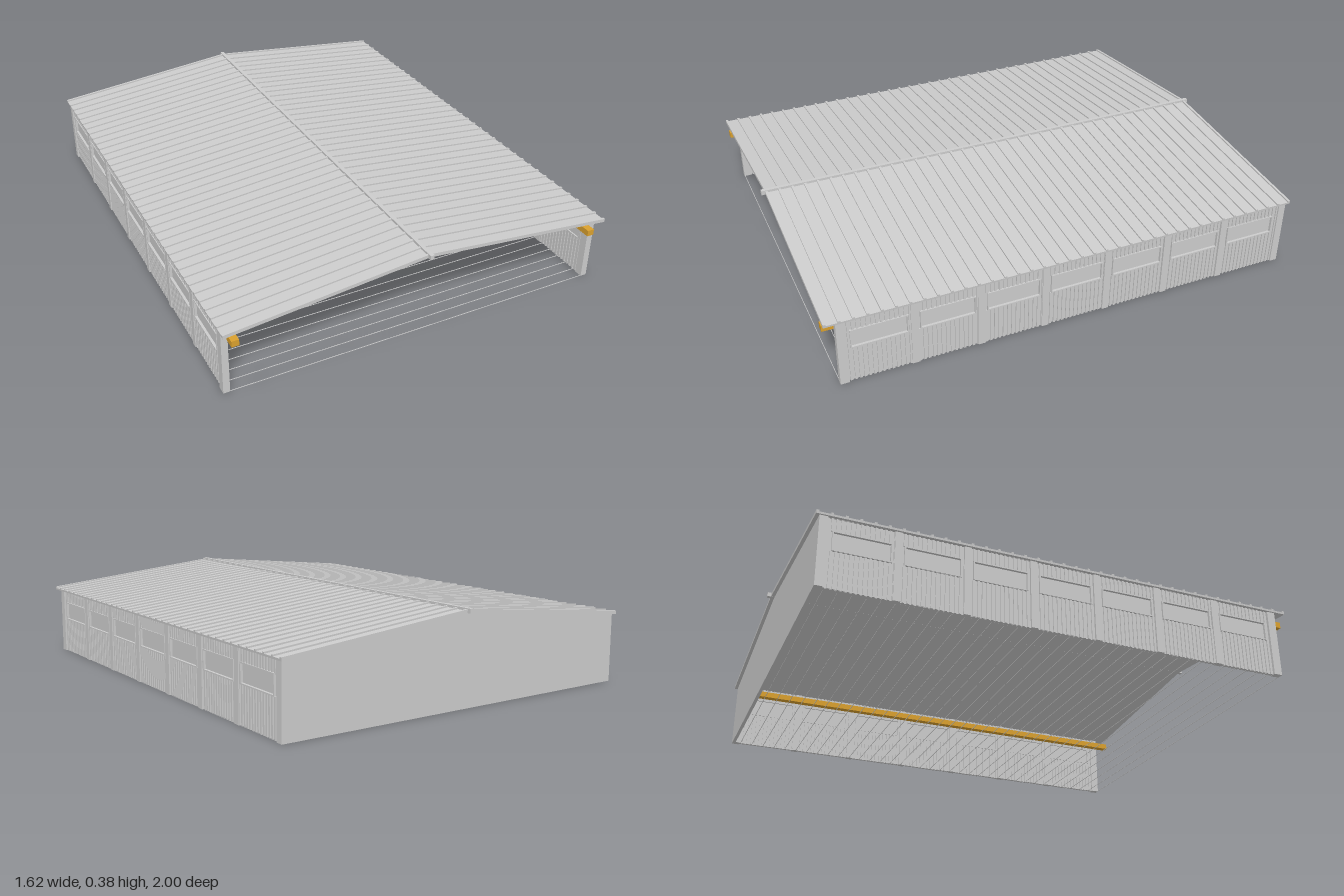
import * as THREE from 'three';
import { mergeGeometries } from 'three/addons/utils/BufferGeometryUtils.js';

const grey = new THREE.MeshStandardMaterial({ color: 0xcccccc, flatShading: true });
const yellow = new THREE.MeshStandardMaterial({ color: 0xd9a02e, flatShading: true });

// Box given by its lower and upper corners
function box(x0, x1, y0, y1, z0, z1) {
  return new THREE.BoxGeometry(x1 - x0, y1 - y0, z1 - z0)
    .translate((x0 + x1) / 2, (y0 + y1) / 2, (z0 + z1) / 2);
}

function part(parent, name, geometries, material = grey) {
  const mesh = new THREE.Mesh(mergeGeometries(geometries), material);
  mesh.name = name;
  parent.add(mesh);
  return mesh;
}

const FRONT = 0.94, BACK = -0.97, EAVE = 0.285, APEX = 0.364;
const BAY = 0.265, BAYS = 7, FIRST = 0.78; // window bays along the side walls
const WIN_LOW = 0.15, WIN_HIGH = 0.23, WIN_HALF = 0.11;

// Side wall drawn on the +x side: sheet with openings, ribs, posts, windows
function sideWall(name) {
  const wall = new THREE.Group();
  wall.name = name;
  const centres = Array.from({ length: BAYS }, (_, i) => FIRST - i * BAY);

  const shape = new THREE.Shape([
    new THREE.Vector2(-FRONT, 0), new THREE.Vector2(-BACK, 0),
    new THREE.Vector2(-BACK, EAVE), new THREE.Vector2(-FRONT, EAVE),
  ]);
  for (const c of centres) {
    shape.holes.push(new THREE.Path([
      new THREE.Vector2(-c - WIN_HALF, WIN_LOW), new THREE.Vector2(-c - WIN_HALF, WIN_HIGH),
      new THREE.Vector2(-c + WIN_HALF, WIN_HIGH), new THREE.Vector2(-c + WIN_HALF, WIN_LOW),
    ]));
  }
  const sheet = new THREE.ExtrudeGeometry(shape, { depth: 0.008, bevelEnabled: false })
    .rotateY(Math.PI / 2).translate(0.784, 0, 0);
  part(wall, 'wallSheet', [sheet]);

  // Corrugation ribs stop above and below each window
  const ribs = [];
  for (let z = FRONT - 0.045; z > BACK + 0.03; z -= 0.0178) {
    const atWindow = centres.some((c) => Math.abs(z - c) < WIN_HALF + 0.004);
    const spans = atWindow ? [[0, WIN_LOW], [WIN_HIGH, EAVE]] : [[0, EAVE]];
    for (const [y0, y1] of spans) ribs.push(box(0.78, 0.797, y0, y1, z - 0.0045, z + 0.0045));
  }
  part(wall, 'wallRibs', ribs);

  // Posts between the bays and at both ends
  const posts = [box(0.777, 0.803, 0, EAVE, FRONT - 0.035, FRONT),
    box(0.777, 0.803, 0, EAVE, BACK, BACK + 0.03)];
  for (let i = 0; i < BAYS - 1; i++) {
    const z = centres[i] - BAY / 2;
    posts.push(box(0.778, 0.801, 0, EAVE, z - 0.014, z + 0.014));
  }
  part(wall, 'wallPosts', posts);

  // Panes and their slim frames
  const panes = [], frames = [], f = 0.005;
  for (const c of centres) {
    const a = c - WIN_HALF, b = c + WIN_HALF;
    panes.push(box(0.786, 0.79, WIN_LOW, WIN_HIGH, a, b));
    frames.push(box(0.78, 0.8, WIN_LOW, WIN_LOW + f, a, b), box(0.78, 0.8, WIN_HIGH - f, WIN_HIGH, a, b),
      box(0.78, 0.8, WIN_LOW, WIN_HIGH, a, a + f), box(0.78, 0.8, WIN_LOW, WIN_HIGH, b - f, b));
  }
  part(wall, 'windowPanes', panes);
  part(wall, 'windowFrames', frames);
  return wall;
}

// One roof slope: flat sheet with raised seams running from ridge to eave
function roofSlope(name, side) {
  const slope = new THREE.Group();
  slope.name = name;
  const half = Math.hypot(0.811, 0.082) / 2;
  part(slope, 'roofSheet', [box(-half, half, -0.004, 0.004, -0.985, 0.985)]);
  const seams = [], count = 38;
  for (let i = 0; i < count; i++) {
    const z = -0.98 + (1.96 * i) / (count - 1);
    seams.push(box(-half, half, 0.003, 0.01, z - 0.005, z + 0.005));
  }
  part(slope, 'roofSeams', seams);
  slope.position.set(side * 0.4055, 0.326, 0);
  slope.rotation.z = -side * Math.atan2(0.082, 0.811);
  return slope;
}

export function createModel() {
  const model = new THREE.Group();
  model.name = 'warehouse';

  // Side walls, the right one turned about so its outside faces -x
  model.add(sideWall('leftWall'));
  const right = sideWall('rightWall');
  right.children.forEach((mesh) => {
    const g = mesh.geometry;
    g.scale(-1, 1, 1);
    // Restore the winding after mirroring
    if (g.index) {
      g.index.array.reverse();
    } else {
      const p = g.attributes.position;
      for (let i = 0; i < p.count; i += 3) {
        const b = new THREE.Vector3().fromBufferAttribute(p, i + 1);
        p.setXYZ(i + 1, p.getX(i + 2), p.getY(i + 2), p.getZ(i + 2));
        p.setXYZ(i + 2, b.x, b.y, b.z);
      }
      g.computeVertexNormals();
    }
  });
  model.add(right);

  // Gabled back wall; the front stays open
  const gable = new THREE.Shape([
    new THREE.Vector2(-0.803, 0), new THREE.Vector2(0.803, 0), new THREE.Vector2(0.803, EAVE),
    new THREE.Vector2(0, APEX), new THREE.Vector2(-0.803, EAVE),
  ]);
  part(model, 'backWall', [new THREE.ExtrudeGeometry(gable, { depth: 0.014, bevelEnabled: false })
    .translate(0, 0, BACK - 0.001)]);

  // Roof and ridge cap
  model.add(roofSlope('leftRoof', 1), roofSlope('rightRoof', -1));
  part(model, 'ridgeCap', [box(-0.008, 0.008, 0.362, 0.38, -1, 1)]);

  // Hairline floor ties between the walls
  const ties = [];
  for (let i = 0; i <= 36; i++) {
    const z = FRONT - 0.002 - i * 0.052;
    ties.push(box(-0.785, 0.785, 0, 0.002, z - 0.001, z + 0.001));
  }
  part(model, 'floorTies', ties);

  // Crane rails under the eaves
  part(model, 'leftCraneRail', [box(0.738, 0.767, 0.232, 0.257, BACK + 0.013, 0.982)], yellow);
  part(model, 'rightCraneRail', [box(-0.78, -0.751, 0.232, 0.257, BACK + 0.013, 0.982)], yellow);
  return model;
}
